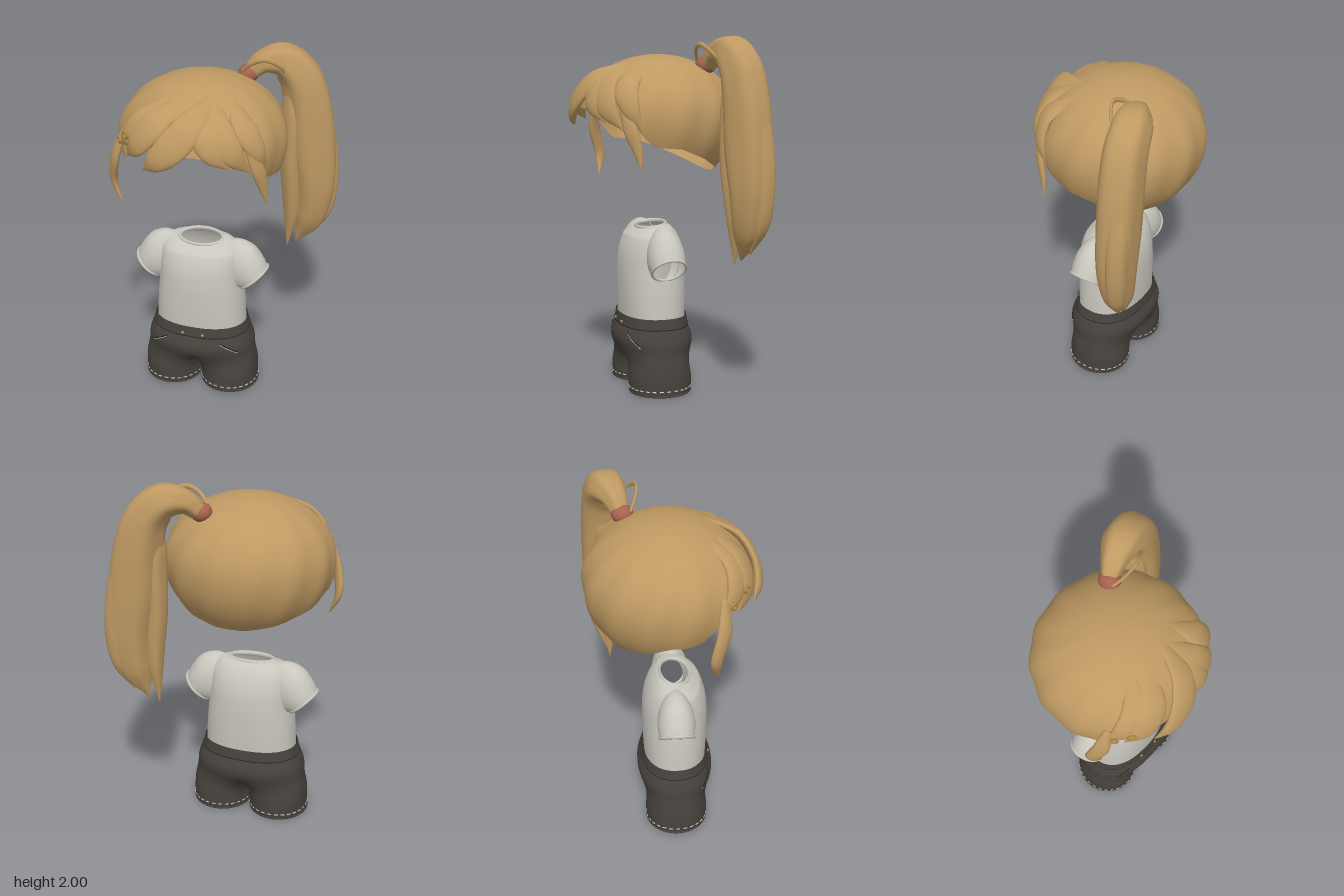
import * as THREE from 'three';

const V = (x, y, z) => new THREE.Vector3(x, y, z);
const curve = pts => new THREE.CatmullRomCurve3(pts.map(p => V(...p)));
const mat = (name, color) => {
  const m = new THREE.MeshStandardMaterial({ color, side: THREE.DoubleSide });
  m.name = name;
  return m;
};

// Surface through rows of closed rings; skip() leaves holes
function skin(rows, skip = () => false) {
  const n = rows[0].length, pos = [], idx = [];
  rows.forEach(r => r.forEach(p => pos.push(p.x, p.y, p.z)));
  for (let i = 0; i < rows.length - 1; i++) for (let j = 0; j < n; j++) {
    const k = (j + 1) % n, a = i * n + j, b = i * n + k, c = a + n, d = b + n;
    const mid = rows[i][j].clone().add(rows[i][k]).add(rows[i + 1][j]).add(rows[i + 1][k]);
    if (skip(mid.multiplyScalar(0.25))) continue;
    idx.push(a, c, b, b, c, d);
  }
  const g = new THREE.BufferGeometry();
  g.setAttribute('position', new THREE.Float32BufferAttribute(pos, 3));
  g.setIndex(idx);
  g.computeVertexNormals();
  return g;
}

// Smooth upright loft; rings are [y, cx, halfX, halfZ], adjust(p) may move points
const ZC = 0.018;
const se = (v, n) => Math.sign(v) * Math.pow(Math.abs(v), 2 / n);
function loft(rings, { n = 2.3, steps = 36, seg = 64, adjust = () => {}, skip } = {}) {
  const c1 = curve(rings.map(r => [r[0], r[1], r[2]]));
  const c2 = curve(rings.map((r, i) => [r[0], r[3], i * 0.01]));
  const rows = [];
  for (let i = 0; i <= steps; i++) {
    const p = c1.getPoint(i / steps), q = c2.getPoint(i / steps), row = [];
    for (let j = 0; j < seg; j++) {
      const t = j / seg * Math.PI * 2;
      const v = V(p.y + p.z * se(Math.cos(t), n), p.x, ZC + q.y * se(Math.sin(t), n));
      adjust(v);
      row.push(v);
    }
    rows.push(row);
  }
  return skin(rows, skip);
}

// Swept oval strand; points are [x, y, z, halfWidth, halfThickness], normal(p) sets its flat face
function strand(pts, normal, { steps = 28, seg = 20, ridge = 0 } = {}) {
  const path = curve(pts.map(p => p.slice(0, 3)));
  const size = curve(pts.map((p, i) => [p[3], p[4], i * 0.05]));
  const rows = [];
  for (let i = 0; i <= steps; i++) {
    const t = i / steps, p = path.getPoint(t), T = path.getTangent(t), s = size.getPoint(t);
    const N = normal(p).clone();
    N.addScaledVector(T, -N.dot(T)).normalize();
    const W = T.clone().cross(N), row = [];
    for (let j = 0; j < seg; j++) {
      const a = j / seg * Math.PI * 2, k = 1 + ridge * Math.cos(5 * a + 0.6);
      row.push(p.clone().addScaledVector(W, Math.max(s.x, 0.002) * k * Math.cos(a))
        .addScaledVector(N, Math.max(s.y, 0.002) * k * Math.sin(a)));
    }
    if (i === 0) rows.push(row.map(() => p.clone()));
    rows.push(row);
    if (i === steps) rows.push(row.map(() => p.clone()));
  }
  return skin(rows);
}

export function createModel() {
  const hairMat = mat('hair tan', 0xbe9962), shirtMat = mat('shirt grey', 0xc9c7bd);
  const shortsMat = mat('shorts charcoal', 0x47423d), seamMat = mat('seam dark', 0x2b2724);
  const stitchMat = mat('stitch pale', 0xd6d2c8), goldMat = mat('gold', 0xb08c44);
  const tieMat = mat('hair tie red', 0xa5624f);
  const model = new THREE.Group();
  const add = (parent, name, geo, m) => {
    const mesh = new THREE.Mesh(geo, m);
    mesh.name = name;
    parent.add(mesh);
    return mesh;
  };
  const group = (name, parent = model) => {
    const g = new THREE.Group();
    g.name = name;
    parent.add(g);
    return g;
  };

  // Hair cap: half-open dome, raised over the face and lower at the back, with swirled ridges
  const hair = group('hair');
  const H = V(-0.115, 1.55, -0.02), RX = 0.46, RZ = 0.448;
  const capRows = [];
  for (let i = 0; i <= 36; i++) {
    const row = [];
    for (let j = 0; j < 96; j++) {
      const t = j / 96 * Math.PI * 2, c = Math.sin(t);
      const hem = 1.395 + (c < 0 ? 0.155 * c : 0.03 * c + 0.18 * THREE.MathUtils.smoothstep(c, 0.3, 0.75)) - H.y;
      const end = Math.acos(hem / (hem > 0 ? 0.35 : 0.42));
      const phi = end * (1 - i / 36), cy = Math.cos(phi), sp = Math.sin(phi);
      const k = sp * (1 + 0.012 * Math.cos(13 * t + 2.5 * cy) * sp);
      row.push(V(H.x + RX * k * Math.cos(t), H.y + cy * (cy > 0 ? 0.35 : 0.42), H.z + RZ * k * c));
    }
    capRows.push(row);
  }
  add(hair, 'hairCap', skin(capRows), hairMat);

  // Fringe locks lie on the dome: [x, y, halfWidth]
  const radial = p => p.clone().sub(H);
  const onHead = (x, y, off) => {
    const u = (x - H.x) / RX, v = (y - H.y) / 0.35;
    return [x, y, H.z + RZ * Math.sqrt(Math.max(0.04, 1 - u * u - v * v)) + off];
  };
  const fringe = [
    [[0.0, 1.85, 0.02], [-0.05, 1.77, 0.075], [-0.14, 1.66, 0.085], [-0.23, 1.57, 0.06], [-0.31, 1.505, 0.005]],
    [[-0.2, 1.86, 0.02], [-0.33, 1.75, 0.07], [-0.42, 1.65, 0.065], [-0.5, 1.56, 0.005]],
    [[-0.12, 1.86, 0.02], [-0.26, 1.74, 0.08], [-0.36, 1.62, 0.07], [-0.43, 1.53, 0.005]],
    [[0.0, 1.85, 0.02], [0.07, 1.74, 0.075], [0.15, 1.62, 0.065], [0.23, 1.5, 0.005]],
    [[0.08, 1.84, 0.02], [0.19, 1.72, 0.07], [0.26, 1.6, 0.05], [0.29, 1.49, 0.005]],
    [[-0.04, 1.82, 0.02], [0.0, 1.73, 0.07], [0.06, 1.63, 0.06], [0.15, 1.54, 0.005]],
  ];
  fringe.forEach((f, k) => {
    const pts = f.map(([x, y, w], i) =>
      [...onHead(x, y, i === 0 ? -0.03 : k === 0 ? 0.03 : 0.012), w, Math.min(0.025, w * 0.5)]);
    add(hair, 'fringeLock' + (k + 1), strand(pts, radial), hairMat);
  });

  // Loose locks beside the face
  add(hair, 'rightSideLock', strand([[-0.47, 1.64, 0.24, 0.02, 0.015], [-0.53, 1.48, 0.24, 0.045, 0.022],
    [-0.56, 1.32, 0.2, 0.035, 0.02], [-0.51, 1.19, 0.215, 0.004, 0.004]], radial), hairMat);
  add(hair, 'leftSideLock', strand([[0.22, 1.62, 0.28, 0.02, 0.015], [0.265, 1.5, 0.25, 0.04, 0.02],
    [0.285, 1.4, 0.22, 0.03, 0.018], [0.305, 1.29, 0.2, 0.004, 0.004]], radial), hairMat);

  // Hair pins
  [[-0.42, 1.66, 0.355], [-0.48, 1.6, 0.29]].forEach(p => {
    const pin = add(hair, 'hairPin', new THREE.TorusGeometry(0.016, 0.008, 8, 16), goldMat);
    pin.position.set(...p);
    pin.lookAt(p[0] * 2 - H.x, p[1], p[2] * 2 - H.z);
  });

  // Ponytail: one thick arc, two hanging side locks and a wisp
  const tail = group('ponytail', hair);
  const flat = () => V(0.4, 0, 0.92);
  add(tail, 'mainTail', strand([[0.08, 1.84, -0.25, 0.045, 0.045], [0.15, 1.9, -0.28, 0.065, 0.07],
    [0.25, 1.905, -0.32, 0.095, 0.1], [0.34, 1.82, -0.34, 0.115, 0.11], [0.39, 1.66, -0.35, 0.13, 0.115],
    [0.42, 1.4, -0.355, 0.14, 0.115], [0.445, 1.15, -0.36, 0.115, 0.105], [0.42, 0.95, -0.36, 0.085, 0.08],
    [0.35, 0.785, -0.35, 0.005, 0.005]], flat, { steps: 48, seg: 40, ridge: 0.045 }), hairMat);
  add(tail, 'innerTailLock', strand([[0.3, 1.8, -0.31, 0.03, 0.04], [0.32, 1.6, -0.315, 0.07, 0.08],
    [0.312, 1.3, -0.315, 0.06, 0.08], [0.32, 1.0, -0.33, 0.045, 0.055], [0.3, 0.755, -0.335, 0.003, 0.003]],
  flat, { seg: 28, ridge: 0.04 }), hairMat);
  add(tail, 'outerTailLock', strand([[0.42, 1.78, -0.38, 0.03, 0.03], [0.47, 1.55, -0.4, 0.055, 0.06],
    [0.512, 1.25, -0.41, 0.06, 0.06], [0.5, 1.0, -0.4, 0.045, 0.05], [0.43, 0.83, -0.37, 0.004, 0.004]],
  flat, { seg: 24, ridge: 0.04 }), hairMat);
  add(tail, 'wisp', strand([[0.05, 1.86, -0.2, 0.008, 0.008], [0.11, 1.92, -0.17, 0.012, 0.008],
    [0.19, 1.95, -0.165, 0.014, 0.008], [0.26, 1.91, -0.2, 0.012, 0.008], [0.29, 1.84, -0.25, 0.004, 0.004]],
  flat, { seg: 10 }), hairMat);
  const tie = add(tail, 'hairTie', new THREE.SphereGeometry(0.06, 24, 16), tieMat);
  tie.position.set(0.075, 1.84, -0.242);
  tie.scale.set(0.95, 0.85, 1);

  // Shirt: hollow torso with arm holes and a neckline dipping at the front
  const body = group('outfit');
  body.position.x = -0.12;
  const shirt = group('shirt', body);
  const holeDist = p => Math.abs(p.x) < 0.15 ? 9 : Math.hypot((p.z - 0.01) / 0.085, (p.y - 0.755) / 0.11);
  const shape = p => {
    const d = holeDist(p);
    if (d > 0.75 && d < 1) {
      p.z = 0.01 + (p.z - 0.01) / d;
      p.y = 0.755 + (p.y - 0.755) / d;
    }
    p.y -= Math.max(0, p.y - 0.88) * Math.max(0, p.z) * 3.5;
  };
  add(shirt, 'shirtBody', loft([[0.4, 0, 0.264, 0.178], [0.55, 0, 0.256, 0.184], [0.7, 0, 0.243, 0.184],
    [0.8, 0, 0.238, 0.172], [0.88, 0, 0.225, 0.142], [0.93, 0, 0.185, 0.105], [0.945, 0, 0.13, 0.08]],
  { steps: 60, seg: 96, adjust: shape, skip: p => holeDist(p) < 0.985 }), shirtMat);
  const collar = add(shirt, 'collar', new THREE.TorusGeometry(0.125, 0.011, 10, 48), shirtMat);
  collar.rotation.x = Math.PI / 2 + 0.13;
  collar.scale.set(1, 0.67, 1.2);
  collar.position.set(0, 0.933, ZC);

  // Sleeves: rings spanning a shoulder line and an underarm line
  const over = curve([[0.13, 0.93, 0.07], [0.22, 0.942, 0.096], [0.3, 0.912, 0.104], [0.352, 0.85, 0.102], [0.386, 0.785, 0.096]]);
  const under = curve([[0.17, 0.63, 0], [0.19, 0.634, 0], [0.21, 0.638, 0], [0.225, 0.643, 0], [0.24, 0.65, 0]]);
  for (const s of [-1, 1]) {
    const label = s > 0 ? 'left' : 'right', rows = [];
    for (let i = 0; i <= 24; i++) {
      const a = over.getPoint(i / 24), b = under.getPoint(i / 24), row = [];
      for (let j = 0; j < 40; j++) {
        const t = j / 40 * Math.PI * 2, f = 0.5 + 0.5 * Math.cos(t);
        row.push(V(s * (b.x + (a.x - b.x) * f), b.y + (a.y - b.y) * f, 0.01 - s * a.z * Math.sin(t)));
      }
      rows.push(row);
    }
    add(shirt, label + 'Sleeve', skin(rows), shirtMat);
    const rim = new THREE.CatmullRomCurve3(rows[24], true);
    add(shirt, label + 'Cuff', new THREE.TubeGeometry(rim, 60, 0.008, 8, true), shirtMat);
  }

  // Shorts: hips that pinch at the middle into two legs, and a waistband
  const shorts = group('shorts', body);
  const pinch = p => {
    const d = p.z - ZC, u = Math.min(1, Math.abs(Math.abs(p.x) - 0.171) / 0.169);
    const leg = 0.178 * Math.pow(1 - Math.pow(u, 2.1), 0.476) * Math.min(1, Math.abs(d) / 0.04);
    const w = 1 - THREE.MathUtils.smoothstep(p.y, 0.07, 0.26);
    p.z = ZC + Math.sign(d) * THREE.MathUtils.lerp(Math.abs(d), leg, w);
  };
  add(shorts, 'hips', loft([[0.05, 0, 0.339, 0.178], [0.14, 0, 0.333, 0.178], [0.22, 0, 0.32, 0.2],
    [0.3, 0, 0.312, 0.218], [0.37, 0, 0.288, 0.194], [0.39, 0, 0.278, 0.188]], { seg: 128, adjust: pinch }), shortsMat);
  add(shorts, 'waistband', loft([[0.375, 0, 0.285, 0.196], [0.4, 0, 0.279, 0.192], [0.432, 0, 0.272, 0.187]], { steps: 8 }), shortsMat);
  add(shorts, 'waistSeam', loft([[0.37, 0, 0.2885, 0.199], [0.376, 0, 0.2875, 0.199]], { steps: 1 }), seamMat);
  for (const s of [-1, 1]) {
    const label = s > 0 ? 'left' : 'right';
    add(shorts, label + 'Leg', loft([[0.004, s * 0.173, 0.166, 0.173], [0.03, s * 0.172, 0.167, 0.177],
      [0.075, s * 0.171, 0.168, 0.178]], { n: 2.1, steps: 8 }), shortsMat);
    const hem = add(shorts, label + 'Hem', new THREE.TorusGeometry(0.166, 0.006, 8, 48), shortsMat);
    hem.rotation.x = Math.PI / 2;
    hem.scale.y = 1.035;
    hem.position.set(s * 0.173, 0.007, ZC);
    // Dashed hem stitching
    for (let k = 0; k < 28; k++) {
      const t = k / 28 * Math.PI * 2;
      const dash = add(shorts, 'hemStitch', new THREE.BoxGeometry(0.022, 0.005, 0.005), stitchMat);
      dash.position.set(s * 0.1725 + 0.167 * se(Math.cos(t), 2.1), 0.035, ZC + 0.177 * se(Math.sin(t), 2.1));
      dash.rotation.y = Math.PI / 2 - t;
    }
    // Slanted pocket edge with a pale stitch
    [[0, seamMat, 0.0035], [0.008, stitchMat, 0.002]].forEach(([d, m, r]) => {
      const c = curve([[s * 0.16, 0.345 - d, 0.203], [s * 0.21, 0.315 - d, 0.191], [s * 0.258, 0.28 - d, 0.16]]);
      add(shorts, label + (d ? 'PocketStitch' : 'PocketEdge'), new THREE.TubeGeometry(c, 12, r, 6), m);
    });
    const stud = add(shorts, label + 'Stud', new THREE.SphereGeometry(0.009, 12, 8), goldMat);
    stud.position.set(s * 0.06, 0.388, ZC + 0.192);
  }
  return model;
}
